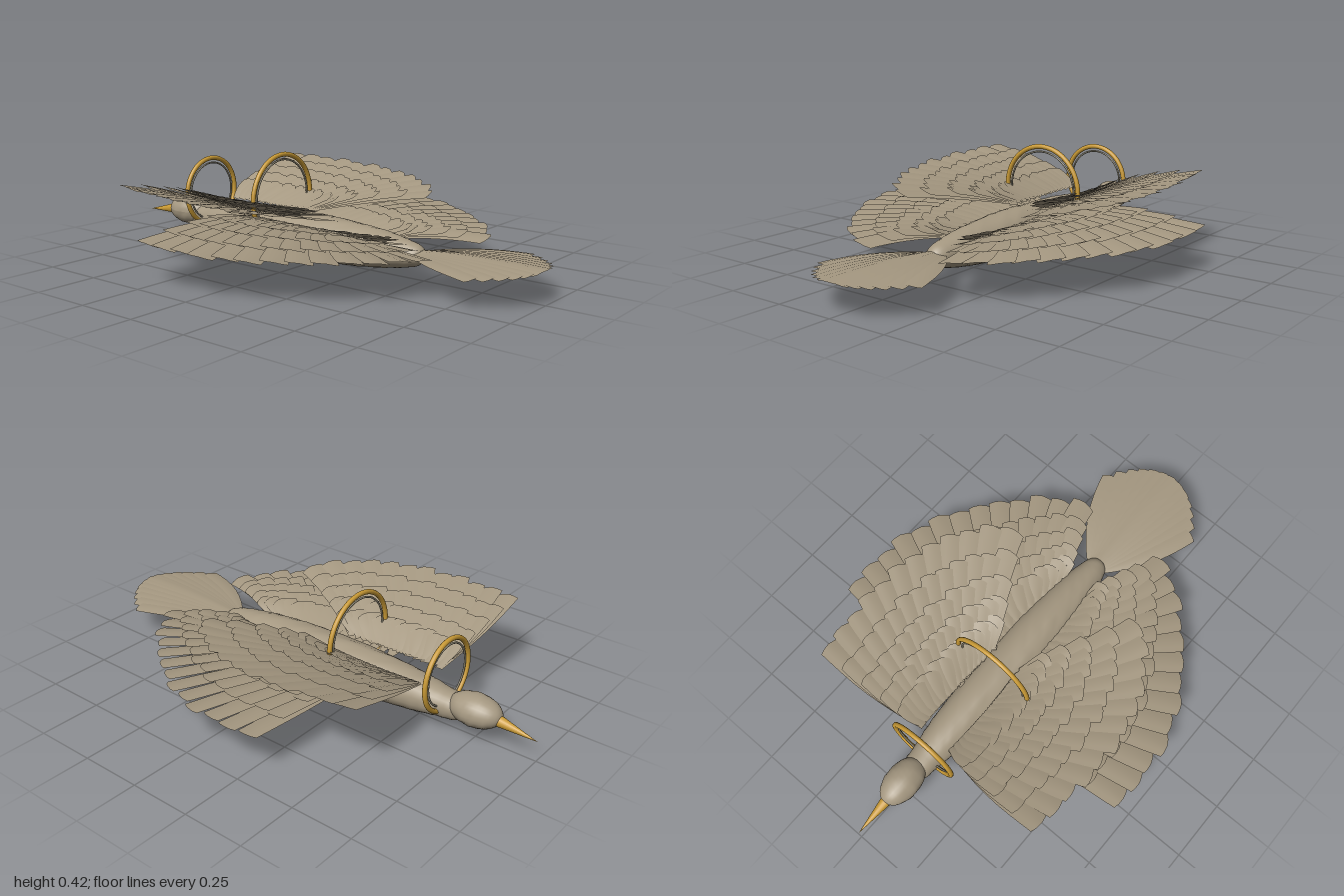
import * as THREE from 'three';

const plumage = new THREE.MeshStandardMaterial({ color: 0xa59881 });
plumage.name = 'plumage';
plumage.side = THREE.DoubleSide;
const gold = new THREE.MeshStandardMaterial({ color: 0xc99a35 });
gold.name = 'gold';
const innerMetal = new THREE.MeshStandardMaterial({ color: 0x8c8674 });
innerMetal.name = 'inner metal';

const V = (x, y, z) => new THREE.Vector3(x, y, z);

function add(parent, name, geometry, material) {
  const mesh = new THREE.Mesh(geometry, material);
  mesh.name = name;
  parent.add(mesh);
  return mesh;
}

// Small ripples that give the skin a hand-modelled surface
function roughen(geometry, amount) {
  const p = geometry.attributes.position;
  for (let i = 0; i < p.count; i++) {
    const x = p.getX(i), y = p.getY(i), z = p.getZ(i);
    const n = Math.sin(x * 71 + z * 43) * Math.sin(y * 83 - z * 57) + 0.5 * Math.sin(z * 131 + x * 97 + y * 61);
    const k = 1 + amount * n;
    p.setXYZ(i, x * k, y * k, z);
  }
  geometry.computeVertexNormals();
  return geometry;
}

// Feather: a cambered strip swept from root to tip, rolled so neighbours overlap
function featherGeometry(root, tip, width, bow, lift, roll) {
  const dir = tip.clone().sub(root);
  const side = V(-dir.z, 0, dir.x).normalize();
  const mid = root.clone().lerp(tip, 0.5).addScaledVector(side, bow);
  mid.y += lift;
  const path = new THREE.QuadraticBezierCurve3(root, mid, tip);
  const across = [-1, -0.55, 0, 0.55, 1];
  const rows = 8, n = across.length;
  const pos = [], index = [];
  for (let i = 0; i <= rows; i++) {
    const t = i / rows;
    const c = path.getPoint(t), d = path.getTangent(t);
    const s = V(-d.z, 0, d.x).normalize();
    const w = width * (0.32 + 0.68 * Math.sin(Math.min(t * 1.35, 1) * Math.PI / 2)) / 2;
    for (const u of across) {
      const q = c.clone().addScaledVector(s, u * w);
      q.addScaledVector(d, i === rows ? -0.012 * u * u : 0);
      q.y += 0.1 * w * (1 - Math.abs(u)) + u * roll * w;
      pos.push(q.x, q.y, q.z);
    }
  }
  for (let i = 0; i < rows; i++) {
    for (let j = 0; j < n - 1; j++) {
      const a = i * n + j;
      index.push(a, a + n, a + 1, a + 1, a + n, a + n + 1);
    }
  }
  const g = new THREE.BufferGeometry();
  g.setAttribute('position', new THREE.Float32BufferAttribute(pos, 3));
  g.setIndex(index);
  g.computeVertexNormals();
  return g;
}

// Wing: rows of feathers between a root line and a tip curve, shorter rows on top
function buildWing(name, roots, tips, count, width) {
  const wing = new THREE.Group();
  wing.name = name;
  const rootCurve = new THREE.CatmullRomCurve3(roots);
  const tipCurve = new THREE.CatmullRomCurve3(tips);
  [1, 0.78, 0.58, 0.4, 0.24].forEach((reach, row) => {
    const total = count + row;
    for (let i = 0; i < total; i++) {
      const u = i / (total - 1);
      const root = rootCurve.getPoint(u);
      const tip = tipCurve.getPointAt(u);
      const end = root.clone().lerp(tip, reach + 0.015 * Math.sin(i * 2.7 + row));
      root.y += row * 0.002;
      end.y += row * 0.006 + 0.02 * Math.sin(reach * Math.PI);
      const g = featherGeometry(root, end, width * (0.6 + 0.4 * reach), -0.05 * reach * (0.3 + u), 0.014 * reach, -0.16);
      add(wing, row ? 'covertFeather' : 'flightFeather', g, plumage);
    }
  });
  return wing;
}

// Mirrored copy across x, with the winding turned back
function mirrored(group, name) {
  const copy = new THREE.Group();
  copy.name = name;
  group.children.forEach((m) => {
    const g = m.geometry.clone().scale(-1, 1, 1);
    const ix = g.index.array;
    for (let i = 0; i < ix.length; i += 3) [ix[i], ix[i + 1]] = [ix[i + 1], ix[i]];
    g.computeVertexNormals();
    add(copy, m.name, g, plumage);
  });
  return copy;
}

export function createModel() {
  const bird = new THREE.Group();
  bird.name = 'bird';

  // Body: long spindle from neck (-z) to rump (+z)
  const outline = [[0.001, -0.7], [0.045, -0.68], [0.058, -0.6], [0.075, -0.48], [0.088, -0.3], [0.093, -0.08],
    [0.09, 0.1], [0.077, 0.27], [0.056, 0.41], [0.035, 0.48], [0.001, 0.505]];
  const spine = new THREE.SplineCurve(outline.map(([r, z]) => new THREE.Vector2(r, z)));
  const profile = spine.getPoints(50).map((p) => new THREE.Vector2(Math.max(p.x, 0.0005), p.y));
  const bodyGeometry = new THREE.LatheGeometry(profile, 28).rotateX(Math.PI / 2);
  bodyGeometry.scale(1.1, 1, 1);
  const body = add(bird, 'body', roughen(bodyGeometry, 0.02), plumage);
  body.position.y = 0.103;

  // Head and beak
  const headGeometry = new THREE.SphereGeometry(1, 28, 20).rotateX(Math.PI / 2).scale(0.07, 0.064, 0.11);
  const head = add(bird, 'head', roughen(headGeometry, 0.025), plumage);
  head.position.set(0, 0.122, -0.74);
  const beak = add(bird, 'beak', new THREE.ConeGeometry(0.025, 0.18, 16).rotateX(-Math.PI / 2), gold);
  beak.position.set(0, 0.104, -0.911);
  beak.rotation.x = -0.14;

  // Upper and lower wing pairs
  const upper = buildWing('leftUpperWing',
    [V(0.07, 0.185, -0.53), V(0.075, 0.185, -0.4), V(0.075, 0.185, -0.25), V(0.07, 0.185, -0.12)],
    [V(0.54, 0.32, -0.545), V(0.555, 0.318, -0.42), V(0.565, 0.312, -0.28), V(0.56, 0.305, -0.12),
      V(0.52, 0.295, 0.06), V(0.44, 0.285, 0.21), V(0.33, 0.27, 0.32)], 12, 0.1);
  const lower = buildWing('leftLowerWing',
    [V(0.07, 0.155, -0.3), V(0.08, 0.155, -0.1), V(0.075, 0.15, 0.12), V(0.06, 0.14, 0.32)],
    [V(0.705, 0.168, -0.25), V(0.71, 0.165, -0.08), V(0.68, 0.162, 0.1), V(0.59, 0.16, 0.28),
      V(0.46, 0.158, 0.45), V(0.34, 0.156, 0.57), V(0.21, 0.152, 0.645)], 13, 0.1);
  bird.add(upper, mirrored(upper, 'rightUpperWing'), lower, mirrored(lower, 'rightLowerWing'));

  // Tail fan, middle feathers on top
  const tail = new THREE.Group();
  tail.name = 'tail';
  for (let i = -6; i <= 6; i++) {
    const u = i / 6;
    const top = 0.012 * (1 - Math.abs(u));
    const root = V(0.018 * u, 0.11 + top, 0.45);
    const tip = V(0.215 * u, 0.12 + top, 1 - 0.16 * u * u);
    add(tail, 'tailFeather', featherGeometry(root, tip, 0.075, -0.05 * u, 0.018, 0.1 * Math.sign(i)), plumage);
  }
  bird.add(tail);

  // Gold hoops around the body, each with a thin inner hoop
  [['rearHoop', -0.2, 0.243, 0.178], ['neckHoop', -0.61, 0.222, 0.144]].forEach(([name, z, y, r]) => {
    const hoop = new THREE.Group();
    hoop.name = name;
    add(hoop, 'outerRing', new THREE.TorusGeometry(r, 0.01, 12, 64), gold);
    add(hoop, 'innerRing', new THREE.TorusGeometry(r - 0.021, 0.004, 8, 64), innerMetal);
    hoop.position.set(0, y, z);
    bird.add(hoop);
  });

  return bird;
}
